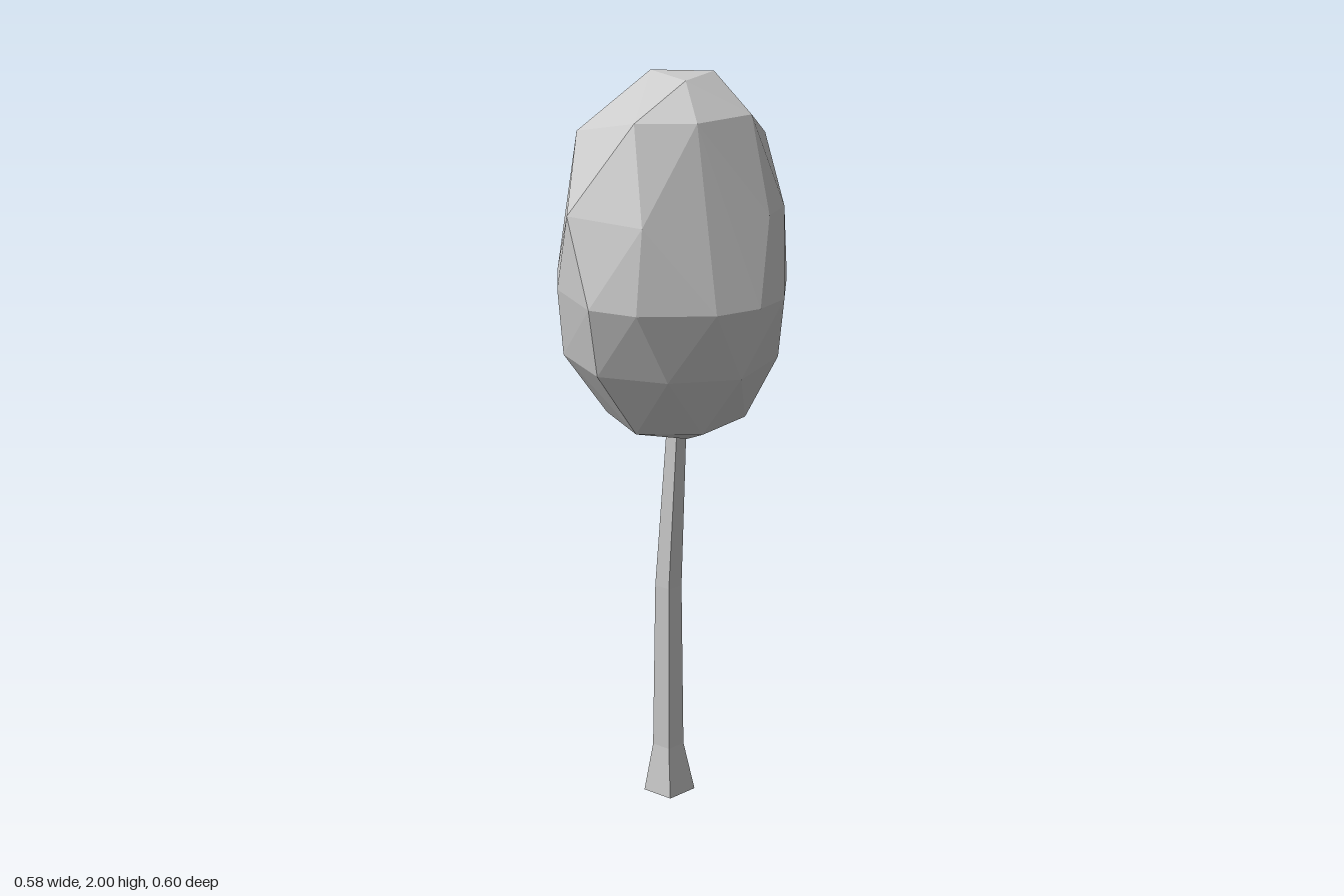
import * as THREE from 'three';
import { ConvexGeometry } from 'three/addons/geometries/ConvexGeometry.js';

const material = new THREE.MeshStandardMaterial({ color: 0xcccccc, flatShading: true });

// Irregular faceted crown: tiers of [angle in degrees, radius] around the y axis.
function createCrown() {
  const tiers = [
    { y: 2.0, ring: [[60, 0.07], [222, 0.075], [336, 0.11]] },
    { y: 1.92, ring: [[18, 0.205], [67, 0.17], [117, 0.185], [157, 0.13], [288, 0.16]] },
    { y: 1.84, ring: [[195, 0.25], [236, 0.25], [260, 0.23], [342, 0.24]] },
    { y: 1.69, ring: [[12, 0.285], [30, 0.28], [103, 0.27], [146, 0.3], [211, 0.305], [295, 0.28], [325, 0.27]] },
    { y: 1.48, ring: [[356, 0.29], [28, 0.32], [45, 0.318], [67, 0.307], [104, 0.306], [127, 0.32],
      [160, 0.3], [190, 0.3], [249, 0.305], [270, 0.3], [312, 0.29]] },
    { y: 1.29, ring: [[10, 0.275], [50, 0.28], [90, 0.25], [130, 0.275], [168, 0.28], [225, 0.27], [270, 0.27], [320, 0.27]] },
    { y: 1.11, ring: [[5, 0.19], [60, 0.165], [120, 0.17], [180, 0.17], [235, 0.15], [300, 0.14]] },
    { y: 1.05, ring: [[37, 0.05]] },
  ];
  const points = tiers.flatMap(({ y, ring }) => ring.map(([deg, r]) => {
    const a = THREE.MathUtils.degToRad(deg);
    return new THREE.Vector3(r * Math.cos(a), y, r * Math.sin(a));
  }));
  const crown = new THREE.Mesh(new ConvexGeometry(points), material);
  crown.name = 'crown';
  return crown;
}

// Five-sided trunk, flared at the foot and gently bent.
function createTrunk() {
  const sections = [
    { y: 0, x: -0.007, z: 0.027, r: 0.073 },
    { y: 0.14, x: -0.01, z: 0.025, r: 0.044 },
    { y: 0.62, x: -0.01, z: 0.01, r: 0.037 },
    { y: 1.12, x: 0.013, z: -0.01, r: 0.026 },
  ];
  const last = sections.length - 1;
  const geometry = new THREE.CylinderGeometry(1, 1, 1, 5, last, false, THREE.MathUtils.degToRad(5));
  const position = geometry.attributes.position;
  for (let i = 0; i < position.count; i++) {
    const s = sections[Math.round((position.getY(i) + 0.5) * last)];
    position.setXYZ(i, s.x + position.getX(i) * s.r, s.y, s.z + position.getZ(i) * s.r);
  }
  geometry.computeVertexNormals();
  const trunk = new THREE.Mesh(geometry, material);
  trunk.name = 'trunk';
  return trunk;
}

export function createModel() {
  const tree = new THREE.Group();
  tree.name = 'tree';
  tree.add(createTrunk(), createCrown());
  return tree;
}
